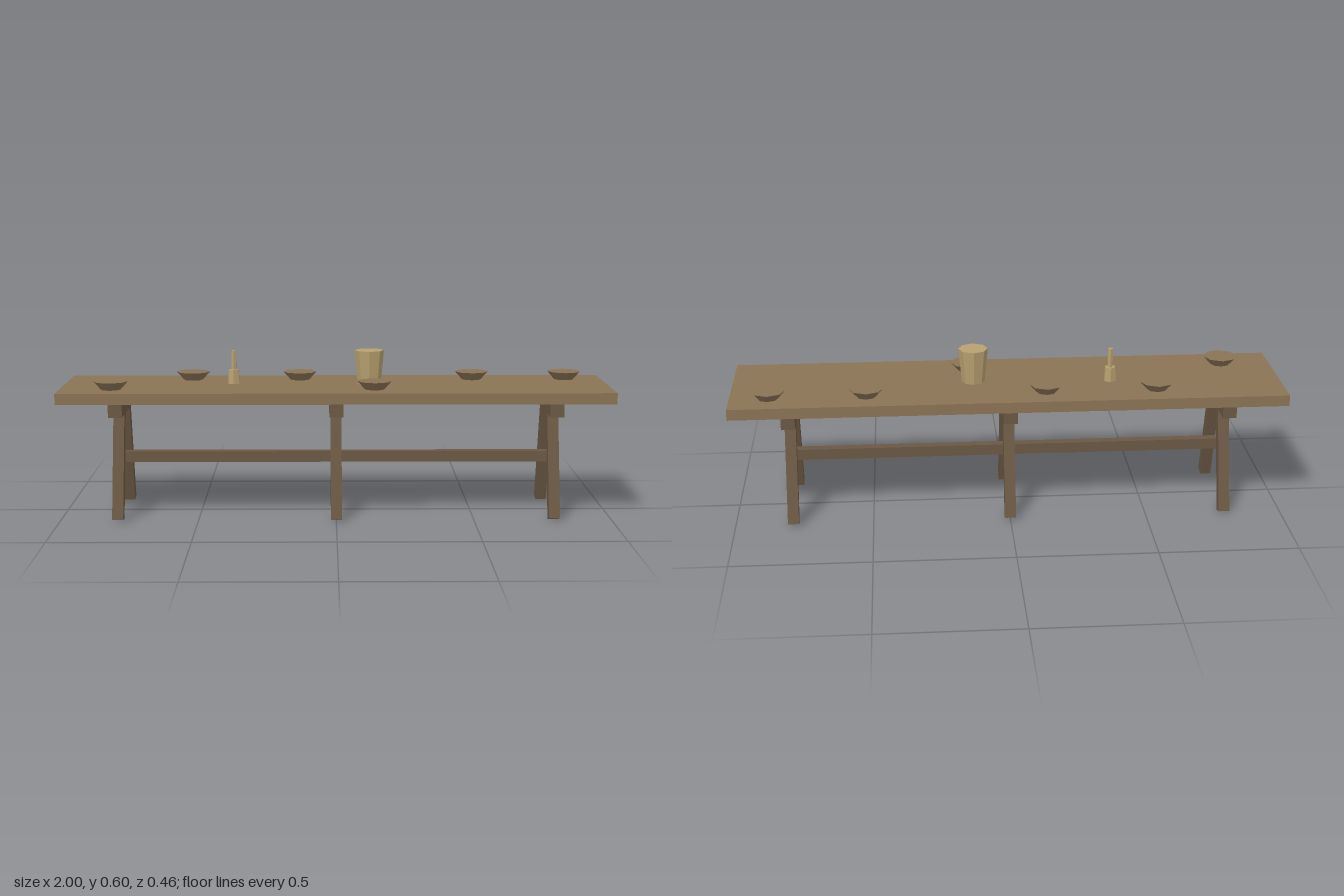
import * as THREE from 'three';

export function createModel() {
  const model = new THREE.Group();
  const paint = (name, color) => {
    const m = new THREE.MeshStandardMaterial({ color, flatShading: true });
    m.name = name;
    return m;
  };
  const lightWood = paint('light wood', 0x8b7355);
  const darkWood = paint('dark wood', 0x6b5844);
  const tan = paint('tan clay', 0xb8a070);

  const add = (name, geometry, material, x, y, z, parent = model) => {
    const mesh = new THREE.Mesh(geometry, material);
    mesh.name = name;
    mesh.position.set(x, y, z);
    parent.add(mesh);
    return mesh;
  };

  const topY = 0.473;
  add('tableTop', new THREE.BoxGeometry(2, 0.04, 0.458), lightWood, 0, topY - 0.02, 0);
  add('stretcher', new THREE.BoxGeometry(1.58, 0.04, 0.034), darkWood, 0, 0.204, 0);

  // Three trestles, each a bearer on two splayed legs
  const tilt = 0.28, legLength = 0.42, legWidth = 0.04;
  const bearer = new THREE.BoxGeometry(0.05, 0.05, 0.416);
  const leg = new THREE.BoxGeometry(legWidth, legLength, legWidth);
  leg.translate(0, legLength / 2, 0);
  for (const x of [-0.79, 0, 0.79]) {
    const trestle = new THREE.Group();
    trestle.name = 'trestle';
    trestle.position.x = x;
    model.add(trestle);
    add('bearer', bearer, darkWood, 0, 0.408, 0, trestle);
    for (const side of [-1, 1]) {
      const footY = legWidth / 2 * Math.sin(tilt);
      add('leg', leg, darkWood, 0, footY, side * 0.184, trestle).rotation.x = -side * tilt;
    }
  }

  // Bowls along both sides of the table
  const bowl = new THREE.CylinderGeometry(0.0625, 0.036, 0.03, 8);
  const bowls = [[-0.814, 0.123], [-0.535, -0.126], [-0.134, -0.126],
    [0.139, 0.123], [0.512, -0.126], [0.861, -0.126]];
  for (const [x, z] of bowls) add('bowl', bowl, lightWood, x, topY + 0.015, z);

  // Pitcher
  add('pitcher', new THREE.CylinderGeometry(0.054, 0.042, 0.126, 8), tan, 0.123, topY + 0.063, 0);

  // Candle in its holder
  add('candleHolder', new THREE.CylinderGeometry(0.02, 0.024, 0.052, 6), tan, -0.377, topY + 0.026, -0.025);
  add('candle', new THREE.CylinderGeometry(0.01, 0.01, 0.07, 6), tan, -0.377, topY + 0.087, -0.025);

  return model;
}
